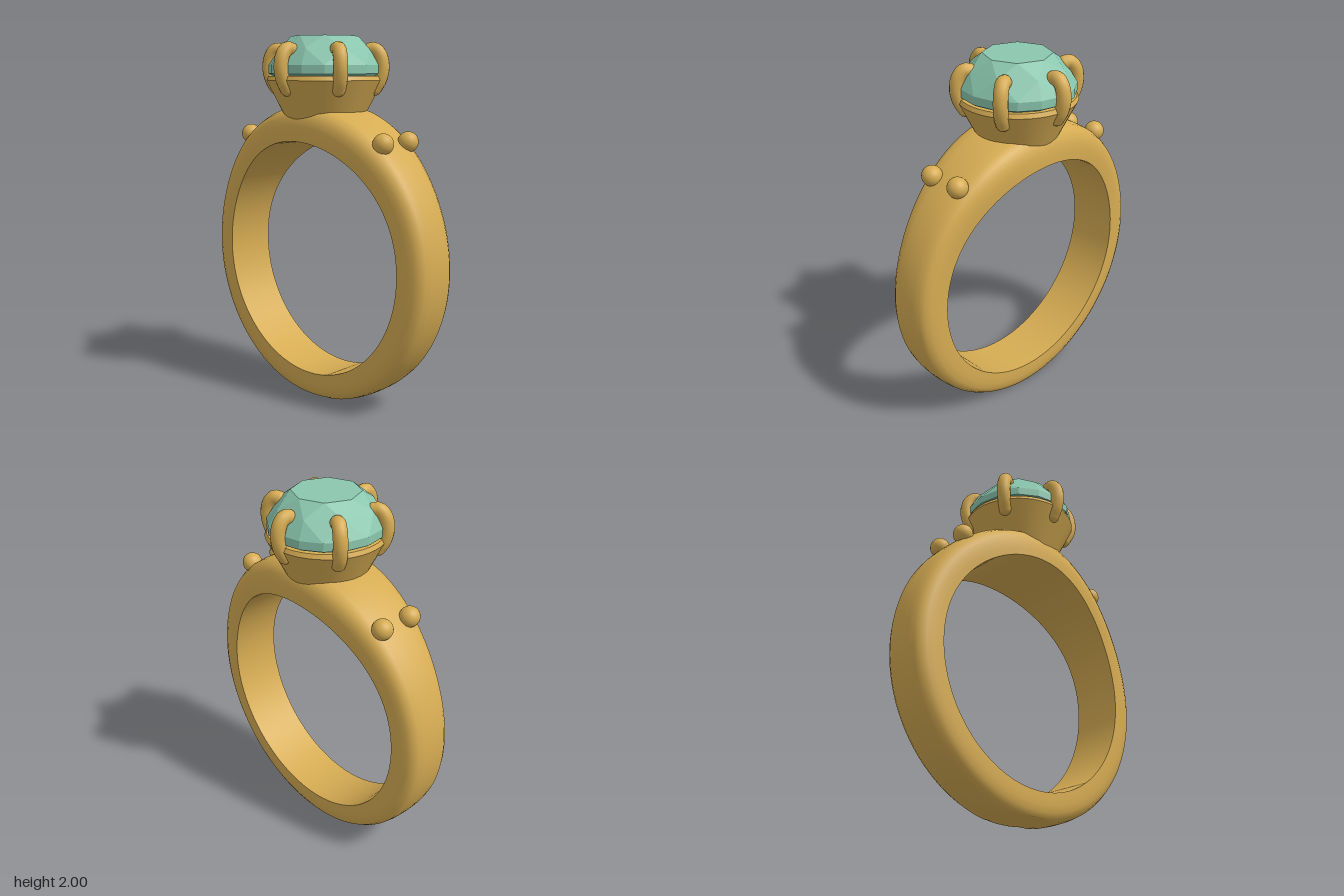
import * as THREE from 'three';
import { ConvexGeometry } from 'three/addons/geometries/ConvexGeometry.js';

const CENTRE_Y = 0.787, INNER_R = 0.655;

// Sweeps a [height 0..1, side -1..1] profile round the finger; the band swells towards the top
function bandStrip(profile, steps = 128) {
  const pos = [], index = [], n = profile.length;
  for (let i = 0; i < steps; i++) {
    const a = (i / steps) * Math.PI * 2;
    const swell = Math.max(0, Math.sin(a)) ** 3;
    const halfWidth = 0.145 + 0.08 * swell;
    const thickness = 0.158 + 0.036 * swell;
    for (const [h, s] of profile) {
      const r = INNER_R + h * thickness;
      // flattened under the finger and below the setting
      const y = THREE.MathUtils.clamp(CENTRE_Y + r * Math.sin(a), 0, 1.612);
      pos.push(r * Math.cos(a), y, s * halfWidth);
    }
    const next = (i + 1) % steps;
    for (let j = 0; j < n - 1; j++) {
      const p = i * n + j, q = next * n + j;
      index.push(p, q, p + 1, q, q + 1, p + 1);
    }
  }
  const g = new THREE.BufferGeometry();
  g.setAttribute('position', new THREE.Float32BufferAttribute(pos, 3));
  g.setIndex(index);
  g.computeVertexNormals();
  return g;
}

// Points of a regular polygon at height y
function ringPoints(count, r, y, offset = 0) {
  return Array.from({ length: count }, (_, i) => {
    const a = offset + (i / count) * Math.PI * 2;
    return new THREE.Vector3(r * Math.cos(a), y, r * Math.sin(a));
  });
}

export function createModel() {
  const gold = new THREE.MeshStandardMaterial({ color: 0xd6ac53 });
  gold.name = 'gold';
  const green = new THREE.MeshStandardMaterial({ color: 0x8ac6ae });
  green.name = 'seaGreenStone';

  const root = new THREE.Group();
  root.name = 'ring';
  const add = (name, geometry, material, parent = root) => {
    const m = new THREE.Mesh(geometry, material);
    m.name = name;
    parent.add(m);
    return m;
  };

  // Band: domed outside, flat inside with a crisp edge
  const half = [[0, 1], [0.2, 1], [0.42, 0.99], [0.65, 0.95], [0.84, 0.84], [0.94, 0.66], [0.985, 0.38]];
  const dome = [...half.map(([h, s]) => [h, -s]), [1, 0], ...half.slice().reverse()];
  add('bandOutside', bandStrip(dome), gold);
  add('bandInside', bandStrip([[0, 1], [0, -1]]), gold);

  // Setting cup: each slope is its own lathe so that the rim stays sharp
  const cup = new THREE.Group();
  cup.name = 'settingCup';
  root.add(cup);
  const cupProfile = [[0, 1.53], [0.2, 1.53], [0.318, 1.765], [0.308, 1.788], [0.27, 1.788], [0.19, 1.64], [0, 1.64]];
  for (let i = 0; i < cupProfile.length - 1; i++) {
    const pair = [cupProfile[i], cupProfile[i + 1]].map(([x, y]) => new THREE.Vector2(x, y));
    add('cupWall', new THREE.LatheGeometry(pair, 48), gold, cup);
  }

  // Faceted stone: table, crown, girdle and point
  add('stone', new ConvexGeometry([
    ...ringPoints(8, 0.182, 2),
    ...ringPoints(8, 0.258, 1.932, Math.PI / 8),
    ...ringPoints(16, 0.308, 1.845),
    ...ringPoints(16, 0.308, 1.8),
    new THREE.Vector3(0, 1.62, 0),
  ]), green);

  // Six claws hooked over the stone
  const path = [[0.278, 1.72], [0.305, 1.765], [0.32, 1.83], [0.308, 1.895], [0.278, 1.928], [0.25, 1.925]];
  const curve = new THREE.CatmullRomCurve3(path.map(([r, y]) => new THREE.Vector3(r, y, 0)));
  const clawGeometry = new THREE.TubeGeometry(curve, 24, 0.038, 14);
  const tipGeometry = new THREE.SphereGeometry(0.038, 14, 10);
  for (let i = 0; i < 6; i++) {
    const claw = new THREE.Group();
    claw.name = 'claw';
    claw.rotation.y = Math.PI / 6 + (i * Math.PI) / 3;
    add('clawArm', clawGeometry, gold, claw);
    for (const t of [0, 1]) add('clawTip', tipGeometry, gold, claw).position.copy(curve.getPoint(t));
    root.add(claw);
  }

  // Beads on the shoulders
  const beadGeometry = new THREE.SphereGeometry(0.055, 24, 16);
  for (const x of [-0.515, 0.515]) {
    for (const z of [-0.097, 0.097]) add('shoulderBead', beadGeometry, gold).position.set(x, 1.452, z);
  }
  return root;
}
